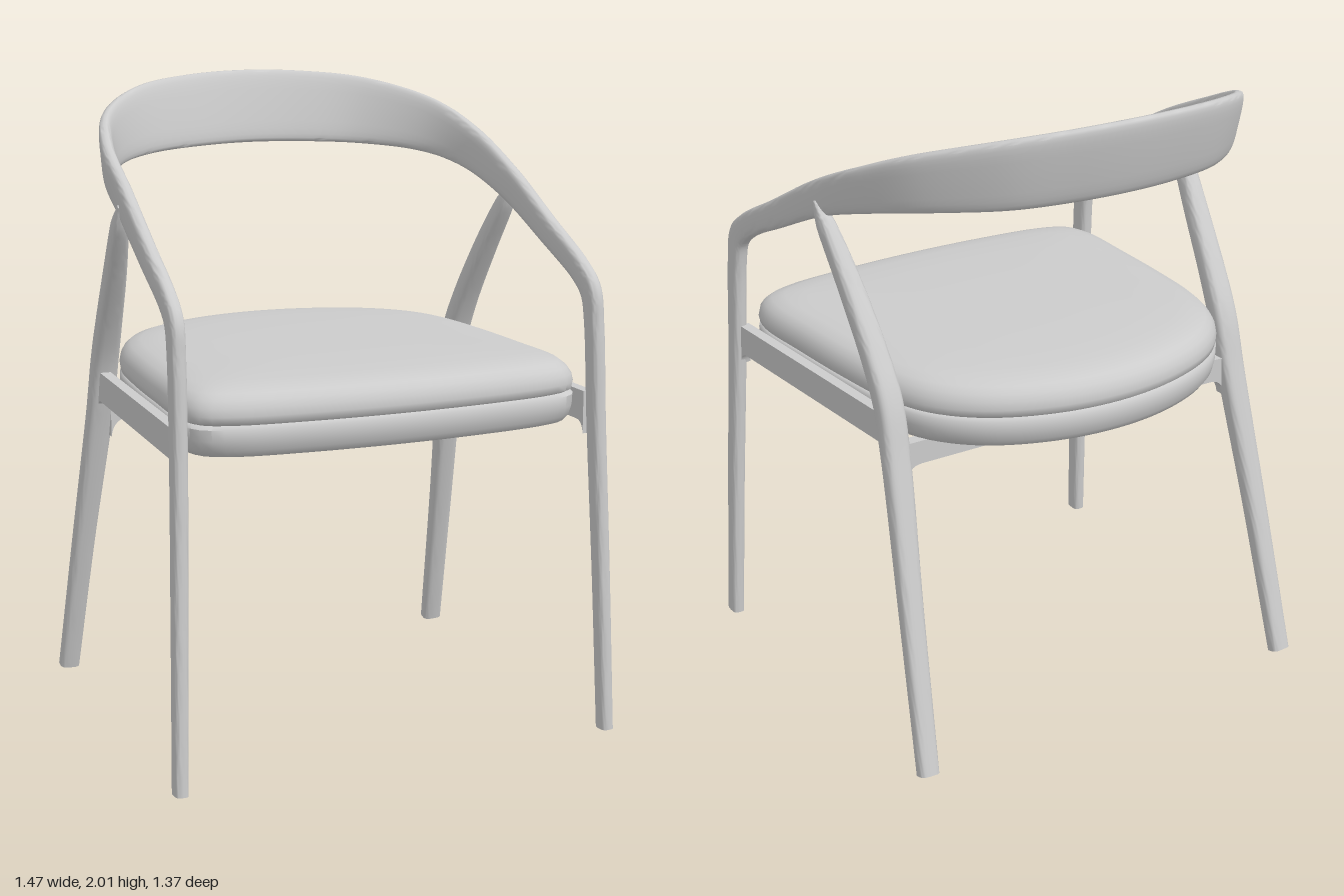
import * as THREE from 'three';
import { toCreasedNormals } from 'three/addons/utils/BufferGeometryUtils.js';

const material = new THREE.MeshStandardMaterial({ color: 0xcccccc });
const V = (x, y, z) => new THREE.Vector3(x, y, z);

function part(name, geometry, crease = 0.9) {
  const mesh = new THREE.Mesh(toCreasedNormals(geometry, crease), material);
  mesh.name = name;
  return mesh;
}

// Sweep a rounded section through stations [x, y, z, halfDepth, halfThickness, facing in degrees, lean].
// Facing 0 points the thickness along +x, 90 along -z.
function loft(stations, rings, sides = 24) {
  const path = new THREE.CatmullRomCurve3(stations.map(s => V(s[0], s[1], s[2])));
  const curve = pick => new THREE.CatmullRomCurve3(stations.map(pick), false, 'catmullrom', 0.5);
  const size = curve(s => V(s[3], s[4], 0));
  const turn = curve(s => V(THREE.MathUtils.degToRad(s[5] || 0), s[6] || 0, 0));
  const power = v => Math.sign(v) * Math.abs(v) ** 0.6;
  const pos = [], index = [];

  for (let i = 0; i <= rings; i++) {
    const t = i / rings, c = path.getPoint(t), T = path.getTangent(t);
    const s = size.getPoint(t), r = turn.getPoint(t);
    const N = V(Math.cos(r.x), 0, -Math.sin(r.x));
    N.addScaledVector(T, -N.dot(T)).normalize();
    const H = N.clone().cross(T).normalize();
    N.applyAxisAngle(T, r.y * -1);
    H.applyAxisAngle(T, r.y);
    N.crossVectors(T, H);
    for (let j = 0; j < sides; j++) {
      const a = (j / sides) * Math.PI * 2;
      const p = c.clone().addScaledVector(H, s.x * power(Math.cos(a)))
        .addScaledVector(N, s.y * power(Math.sin(a)));
      pos.push(p.x, p.y, p.z);
    }
  }
  const last = rings * sides, cap = (rings + 1) * sides;
  for (const s of [stations[0], stations[stations.length - 1]]) pos.push(s[0], s[1], s[2]);
  for (let j = 0; j < sides; j++) {
    const k = (j + 1) % sides;
    for (let i = 0; i < last; i += sides) {
      index.push(i + j, i + k, i + sides + j, i + k, i + sides + k, i + sides + j);
    }
    index.push(cap, k, j, cap + 1, last + j, last + k);
  }
  const g = new THREE.BufferGeometry();
  g.setAttribute('position', new THREE.Float32BufferAttribute(pos, 3));
  g.setIndex(index);
  return g;
}

// Seat plan, mirrored into a closed outline that starts at the front centre
const halfPlan = [[0, 0.66], [0.3, 0.648], [0.52, 0.62], [0.61, 0.58], [0.645, 0.49], [0.64, 0.25],
  [0.625, 0], [0.6, -0.2], [0.54, -0.36], [0.42, -0.485], [0.22, -0.575], [0, -0.605]];
const plan = [...halfPlan, ...halfPlan.slice(1, -1).reverse().map(([x, z]) => [-x, z])];
const outline = new THREE.CatmullRomCurve3(plan.map(([x, z]) => V(x, 0, z)), true).getSpacedPoints(120);

// Lathe of [relative radius, height], warped to the seat outline
function seatLayer(profile) {
  const g = new THREE.LatheGeometry(profile.map(p => new THREE.Vector2(...p)), 120);
  const p = g.attributes.position, n = profile.length, zc = 0.03;
  for (let i = 0; i < p.count; i++) {
    const o = outline[Math.floor(i / n)], r = profile[i % n][0];
    p.setX(i, o.x * r);
    p.setZ(i, zc + (o.z - zc) * r);
  }
  return g;
}

// Straight brace whose lower edge flares down into the legs at both ends
function brace(length, bottom, top, depth, flare) {
  const h = length / 2, s = new THREE.Shape();
  s.moveTo(-h, top);
  s.lineTo(-h, bottom - flare);
  s.quadraticCurveTo(-h + flare * 0.15, bottom, -h + flare, bottom);
  s.lineTo(h - flare, bottom);
  s.quadraticCurveTo(h - flare * 0.15, bottom, h, bottom - flare);
  s.lineTo(h, top);
  return new THREE.ExtrudeGeometry(s, { depth, bevelEnabled: false, curveSegments: 8 })
    .translate(0, 0, -depth / 2);
}

export function createModel() {
  const chair = new THREE.Group();
  chair.name = 'chair';

  // Front legs, arms and backrest: one continuous loop
  const half = [
    [0.714, 0, 0.66, 0.03, 0.021, 0, 0],
    [0.7, 0.5, 0.634, 0.032, 0.022, 0, 0],
    [0.685, 1.0, 0.603, 0.035, 0.023, 0, 0],
    [0.68, 1.3, 0.583, 0.037, 0.023, 0, 0],
    [0.678, 1.395, 0.562, 0.042, 0.023, 0, 0],
    [0.675, 1.45, 0.5, 0.041, 0.023, 0, 0],
    [0.666, 1.55, 0.3, 0.046, 0.023, 1, 0],
    [0.652, 1.672, 0.05, 0.057, 0.023, 4, 0.03],
    [0.625, 1.765, -0.2, 0.072, 0.023, 11, 0.1],
    [0.55, 1.822, -0.385, 0.092, 0.022, 33, 0.18],
    [0.38, 1.86, -0.548, 0.113, 0.021, 57, 0.23],
    [0.19, 1.875, -0.618, 0.121, 0.02, 76, 0.25],
    [0, 1.88, -0.64, 0.123, 0.02, 90, 0.25],
  ];
  const mirrored = half.slice(0, -1).reverse()
    .map(([x, y, z, a, b, f, l]) => [-x, y, z, a, b, 180 - f, l]);
  chair.add(part('frontLegsArmsAndBackrest', loft([...half, ...mirrored], 192)));

  // Rear legs, bent at the seat and tapering into the arms
  const rearLeg = [
    [0.687, 0, -0.576, 0.026, 0.033],
    [0.66, 0.5, -0.447, 0.031, 0.036],
    [0.632, 0.95, -0.328, 0.035, 0.042],
    [0.628, 1.12, -0.28, 0.038, 0.042],
    [0.632, 1.25, -0.215, 0.036, 0.04],
    [0.645, 1.45, -0.09, 0.034, 0.034],
    [0.66, 1.6, 0.01, 0.03, 0.025],
    [0.667, 1.665, 0.053, 0.01, 0.012],
  ];
  for (const [side, s] of [['left', 1], ['right', -1]]) {
    chair.add(part(side + 'RearLeg', loft(rearLeg.map(([x, ...r]) => [s * x, ...r]), 56)));

    // Side rail between front and rear leg
    const rail = part(side + 'SideRail', brace(0.87, 0.99, 1.085, 0.035, 0.04), 0.5);
    rail.position.set(s * 0.652, 0, 0.14);
    rail.rotation.y = Math.PI / 2 + s * 0.045;
    chair.add(rail);
  }

  // Rear crossbar under the seat
  const bar = part('rearCrossbar', brace(1.21, 0.92, 0.995, 0.04, 0.06), 0.5);
  bar.position.z = -0.315;
  chair.add(bar);

  // Seat shell and cushion
  chair.add(part('seatBase', seatLayer([[0, 0.988], [0.93, 0.988], [0.965, 0.995], [0.987, 1.015],
    [0.998, 1.045], [1, 1.08], [0.985, 1.09], [0, 1.09]])));
  chair.add(part('seatCushion', seatLayer([[0, 1.088], [0.975, 1.088], [0.995, 1.097], [1, 1.118],
    [0.993, 1.142], [0.975, 1.163], [0.945, 1.18], [0.89, 1.192], [0.8, 1.2], [0.6, 1.206], [0.3, 1.209], [0, 1.21]])));

  return chair;
}
